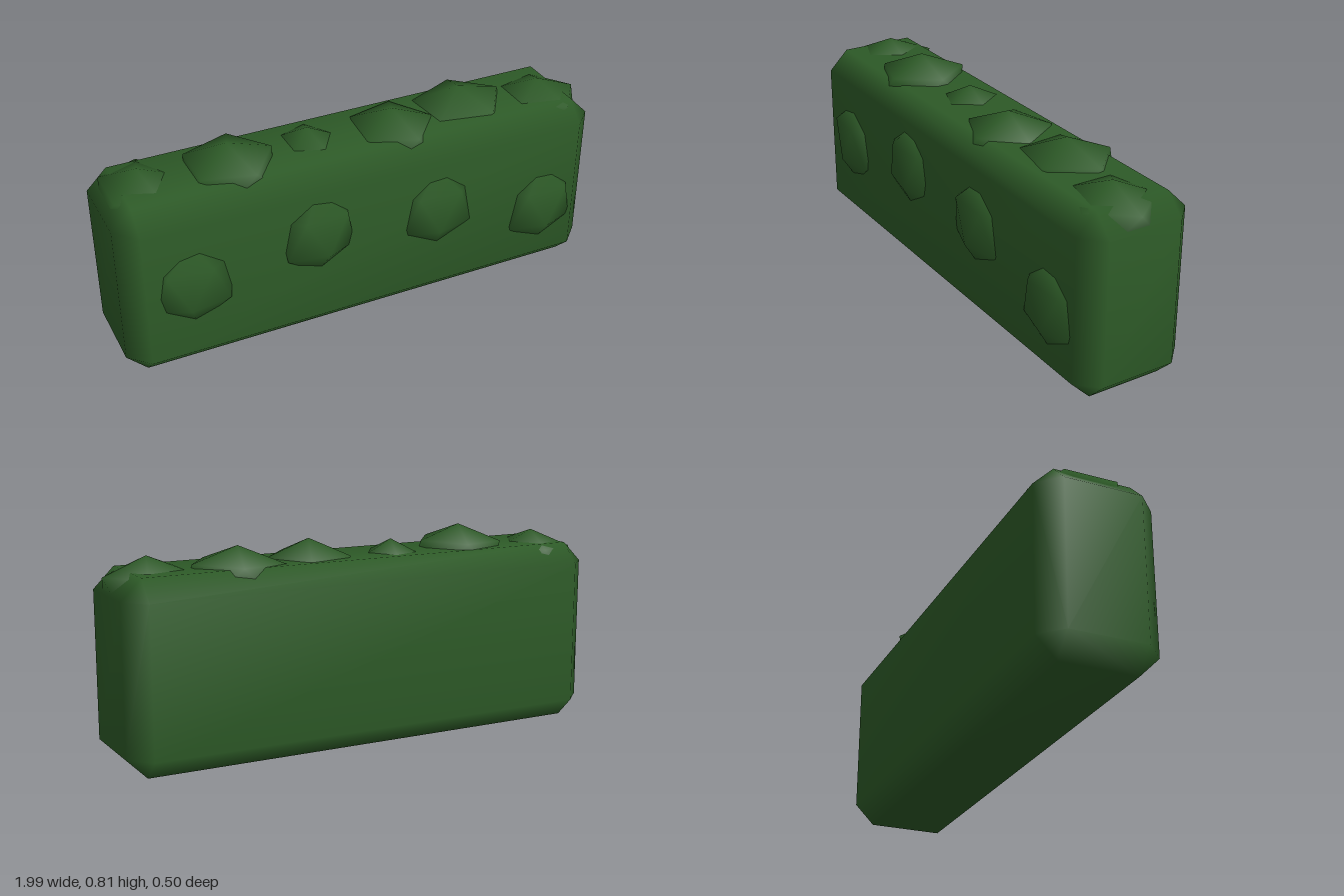
import * as THREE from 'three';
import { mergeVertices } from 'three/addons/utils/BufferGeometryUtils.js';
import { ConvexGeometry } from 'three/addons/geometries/ConvexGeometry.js';

const leaf = new THREE.MeshStandardMaterial({ color: 0x2d5a27 });
leaf.name = 'leafGreen';

// Weld the corners so the shading runs smoothly over the edges
function smooth(geometry) {
  geometry.deleteAttribute('normal');
  geometry.deleteAttribute('uv');
  const welded = mergeVertices(geometry, 1e-4);
  welded.computeVertexNormals();
  return welded;
}

// Box with every edge cut off by c
function chamferedBox(w, h, d, c) {
  const points = [];
  for (const sx of [-1, 1]) for (const sy of [-1, 1]) for (const sz of [-1, 1]) {
    const half = [w / 2, h / 2, d / 2];
    for (let face = 0; face < 3; face++) {
      const p = half.map((v, axis) => (axis === face ? v : v - c));
      points.push(new THREE.Vector3(sx * p[0], sy * p[1], sz * p[2]));
    }
  }
  return smooth(new ConvexGeometry(points));
}

// Squashed icosahedron standing on one corner
function clump(rx, ry, rz, yaw) {
  const g = new THREE.IcosahedronGeometry(1, 0);
  g.rotateZ(-Math.atan(2 / (1 + Math.sqrt(5))));
  g.rotateY(yaw);
  g.scale(rx, ry, rz);
  return smooth(g);
}

export function createModel() {
  const model = new THREE.Group();
  model.name = 'hedge';
  const add = (name, geometry, x, y, z) => {
    const mesh = new THREE.Mesh(geometry, leaf);
    mesh.name = name;
    mesh.position.set(x, y, z);
    model.add(mesh);
    return mesh;
  };

  // Clipped body
  add('hedgeBody', chamferedBox(1.985, 0.73, 0.46, 0.08), -0.0075, 0.365, -0.02);

  // Leaf clumps along the top: x, peak height, z, rx, rz, yaw, tilt
  [
    [-0.84, 0.775, -0.045, 0.165, 0.195, 0, 0],
    [-0.50, 0.815, -0.01, 0.195, 0.19, 0, 0.03],
    [-0.17, 0.78, -0.04, 0.14, 0.155, 0, 0],
    [0.17, 0.80, 0.0, 0.185, 0.185, -0.08, 0],
    [0.49, 0.80, -0.045, 0.21, 0.185, 0.1, 0.04],
    [0.82, 0.78, 0.005, 0.19, 0.18, 0, -0.03],
  ].forEach(([x, top, z, rx, rz, yaw, tilt], i) => {
    const ry = 0.115;
    add('topClump' + (i + 1), clump(rx, ry, rz, yaw), x, top - ry, z).rotation.z = tilt;
  });

  // Shallow leaf clumps on the front: x, y, yaw
  [
    [-0.73, 0.38, 0.1],
    [-0.235, 0.46, 0.5],
    [0.275, 0.425, 0.25],
    [0.75, 0.31, 0.4],
  ].forEach(([x, y, yaw], i) => {
    add('frontClump' + (i + 1), clump(0.17, 0.18, 0.068, yaw), x, y, 0.19);
  });

  return model;
}
